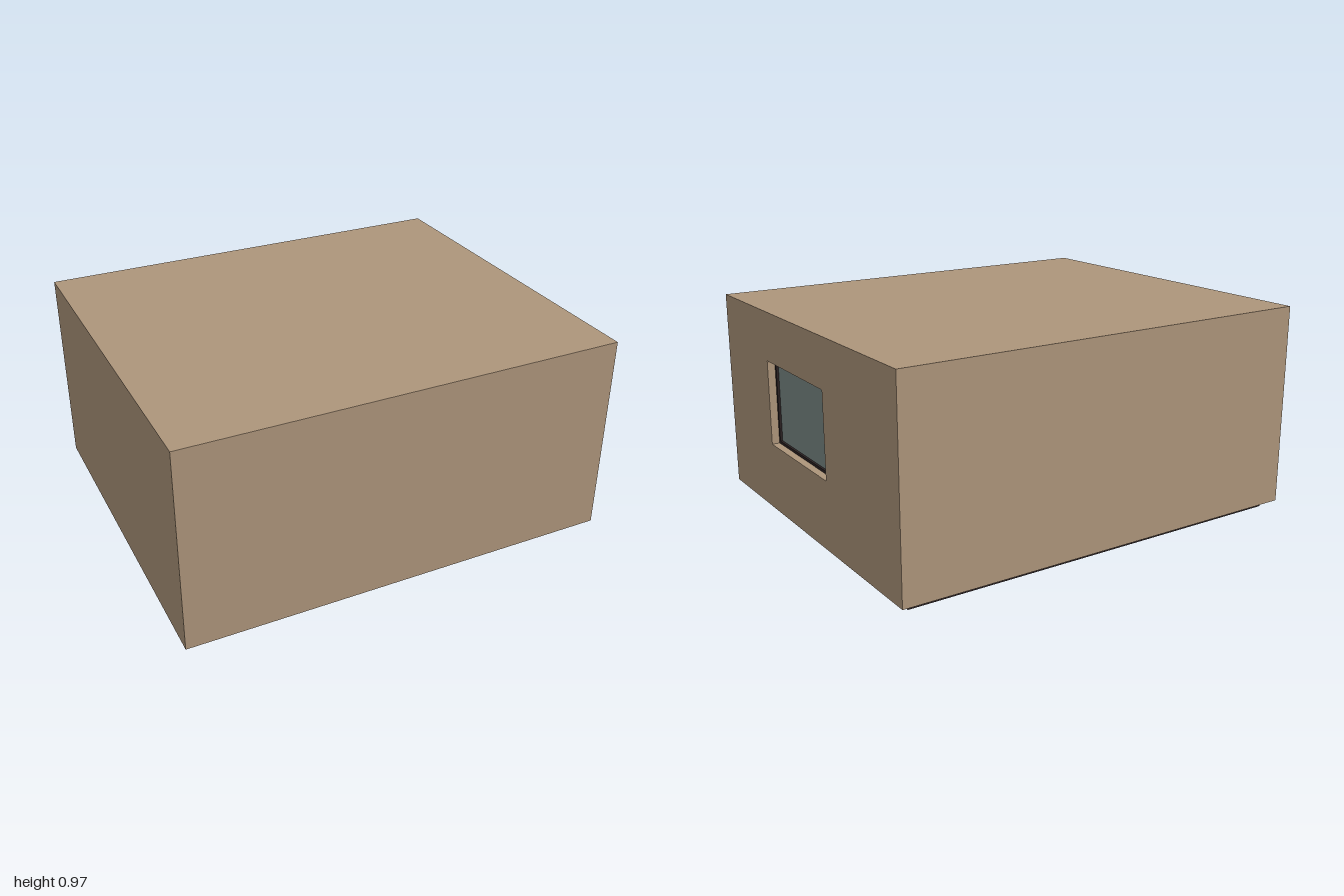
import * as THREE from 'three';
import { mergeGeometries } from 'three/addons/utils/BufferGeometryUtils.js';

const W = 2, D = 1.68, BOTTOM = 0.035, TOP = 0.965;
const H = TOP - BOTTOM, MID = (TOP + BOTTOM) / 2;
const win = { y: 0.545, z: 0.08, h: 0.39, d: 0.57, recess: 0.05, frame: 0.012 };

// Keep a run of a box's six faces (+x, -x, +y, -y, +z, -z); optionally turn them inside out
function boxFaces(w, h, d, from, to, inward = false) {
  const g = new THREE.BoxGeometry(w, h, d);
  const index = Array.from(g.index.array).slice(from * 6, to * 6);
  g.setIndex(inward ? index.reverse() : index);
  g.clearGroups();
  if (inward) g.attributes.normal.array.forEach((v, i, a) => { a[i] = -v; });
  return g;
}

// Rectangle in the side wall's plane, where shape x runs along -z
function rect(cz, cy, d, h, target = new THREE.Shape()) {
  const u = -cz;
  target.moveTo(u - d / 2, cy - h / 2);
  target.lineTo(u + d / 2, cy - h / 2);
  target.lineTo(u + d / 2, cy + h / 2);
  target.lineTo(u - d / 2, cy + h / 2);
  target.closePath();
  return target;
}

export function createModel() {
  const model = new THREE.Group();
  const material = (name, color) => {
    const m = new THREE.MeshStandardMaterial({ color });
    m.name = name;
    return m;
  };
  const tan = material('tan wall', 0xad957b);
  const dark = material('dark trim', 0x2a2122);
  const glass = material('grey glass', 0x7b8987);
  const add = (name, geometry, mat, x = 0, y = 0, z = 0) => {
    const mesh = new THREE.Mesh(geometry, mat);
    mesh.name = name;
    mesh.position.set(x, y, z);
    model.add(mesh);
  };

  // Block body with a window opening cut in its +x wall
  const wall = rect(0, MID, D, H);
  wall.holes.push(rect(win.z, win.y, win.d, win.h, new THREE.Path()));
  const wallFace = new THREE.ShapeGeometry(wall).rotateY(Math.PI / 2).translate(W / 2, 0, 0);
  const shell = boxFaces(W, H, D, 1, 6).translate(0, MID, 0);
  const reveal = boxFaces(win.recess, win.h, win.d, 2, 6, true)
    .translate(W / 2 - win.recess / 2, win.y, win.z);
  add('body', mergeGeometries([shell, wallFace, reveal]), tan);

  // Dark base, set in from the walls
  add('base', new THREE.BoxGeometry(1.9, BOTTOM, 1.58), dark, 0, BOTTOM / 2, 0);

  // Thin window frame at the back of the recess
  const frame = rect(win.z, win.y, win.d, win.h);
  frame.holes.push(rect(win.z, win.y, win.d - 2 * win.frame, win.h - 2 * win.frame, new THREE.Path()));
  const frameBar = new THREE.ExtrudeGeometry(frame, { depth: 0.015, bevelEnabled: false });
  add('windowFrame', frameBar.rotateY(Math.PI / 2), dark, W / 2 - win.recess, 0, 0);

  // Glass pane
  add('windowPane', new THREE.BoxGeometry(0.008, win.h - 0.01, win.d - 0.01), glass,
    W / 2 - win.recess, win.y, win.z);

  return model;
}
